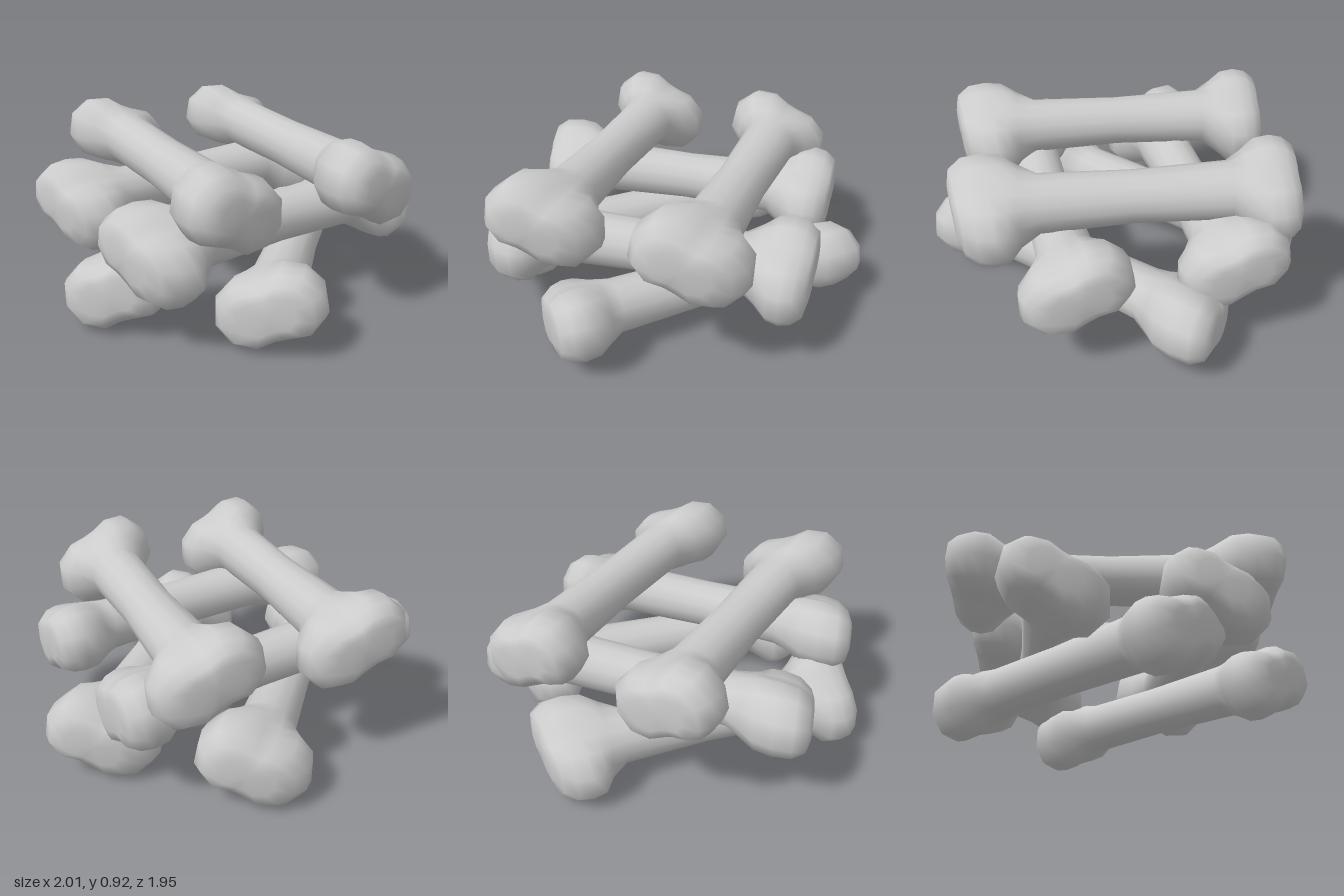
import * as THREE from 'three';

const SIDES = 14;
const HIGH = [-0.1, 0.03], LOW = [0.1, -0.062], MIDDLE = [0, -0.014]; // knuckle lobe centres across the bone

// Stations along the bone: [position, lobe spread, radius, skew of the end]
const STATIONS = [
  [-0.815, 0.6, 0.085, 0.08], [-0.80, 0.95, 0.13, 0.08], [-0.75, 1, 0.165, 0.06],
  [-0.69, 1, 0.178, 0.04], [-0.62, 0.9, 0.174, 0], [-0.55, 0.45, 0.155, 0], [-0.47, 0.08, 0.137, 0],
  [0, 0, 0.13, 0],
  [0.45, 0.08, 0.137, 0], [0.54, 0.45, 0.155, 0], [0.61, 0.9, 0.174, -0.08],
  [0.69, 1, 0.178, -0.14], [0.775, 1, 0.166, -0.18], [0.835, 0.9, 0.128, -0.2], [0.855, 0.55, 0.08, -0.2],
];

// Distance from the axis to the far side of a circle centred at c
function reach(ux, uy, c, spread, r) {
  const cx = c[0] * spread, cy = c[1] * spread;
  const along = ux * cx + uy * cy;
  return along + Math.sqrt(Math.max(0, r * r - cx * cx - cy * cy + along * along));
}

// Loft of two-lobed sections with a filled waist, closed at both ends
function boneGeometry() {
  const pos = [], index = [];
  for (const [s, spread, r, skew] of STATIONS) {
    for (let j = 0; j < SIDES; j++) {
      const a = (j / SIDES) * Math.PI * 2;
      const ux = Math.cos(a), uy = Math.sin(a);
      const d = Math.max(
        reach(ux, uy, HIGH, spread, r),
        reach(ux, uy, LOW, spread, r),
        reach(ux, uy, MIDDLE, spread, r * 0.93),
      );
      pos.push(ux * d, uy * d, s + skew * ux * d);
    }
  }
  const last = STATIONS.length - 1;
  for (let i = 0; i < last; i++) {
    for (let j = 0; j < SIDES; j++) {
      const k = (j + 1) % SIDES;
      const a = i * SIDES + j, b = i * SIDES + k;
      index.push(a, b, b + SIDES, a, b + SIDES, a + SIDES);
    }
  }
  const back = pos.length / 3, front = back + 1;
  pos.push(0, 0, STATIONS[0][0], 0, 0, STATIONS[last][0]);
  for (let j = 0; j < SIDES; j++) {
    const k = (j + 1) % SIDES;
    index.push(back, k, j, front, last * SIDES + j, last * SIDES + k);
  }
  const g = new THREE.BufferGeometry();
  g.setAttribute('position', new THREE.Float32BufferAttribute(pos, 3));
  g.setIndex(index);
  g.computeVertexNormals();
  return g;
}

export function createModel() {
  const model = new THREE.Group();
  model.name = 'bonePile';
  const geometry = boneGeometry();
  const material = new THREE.MeshStandardMaterial({ color: 0xcccccc });

  // Three crossed layers of two parallel bones: height, heading, centres (x, z)
  const layers = [
    { name: 'bottomBone', y: 0.24, turn: 158, at: [[-0.345, -0.155], [0.36, 0.135]] },
    { name: 'middleBone', y: 0.485, turn: -62.5, at: [[-0.14, -0.36], [0.2, 0.325]] },
    { name: 'topBone', y: 0.722, turn: 20, at: [[-0.325, 0.08], [0.385, -0.165]] },
  ];
  for (const { name, y, turn, at } of layers) {
    at.forEach(([x, z], i) => {
      const bone = new THREE.Mesh(geometry, material);
      bone.name = name + (i + 1);
      bone.position.set(x, y, z);
      bone.rotation.y = THREE.MathUtils.degToRad(turn);
      model.add(bone);
    });
  }
  return model;
}
